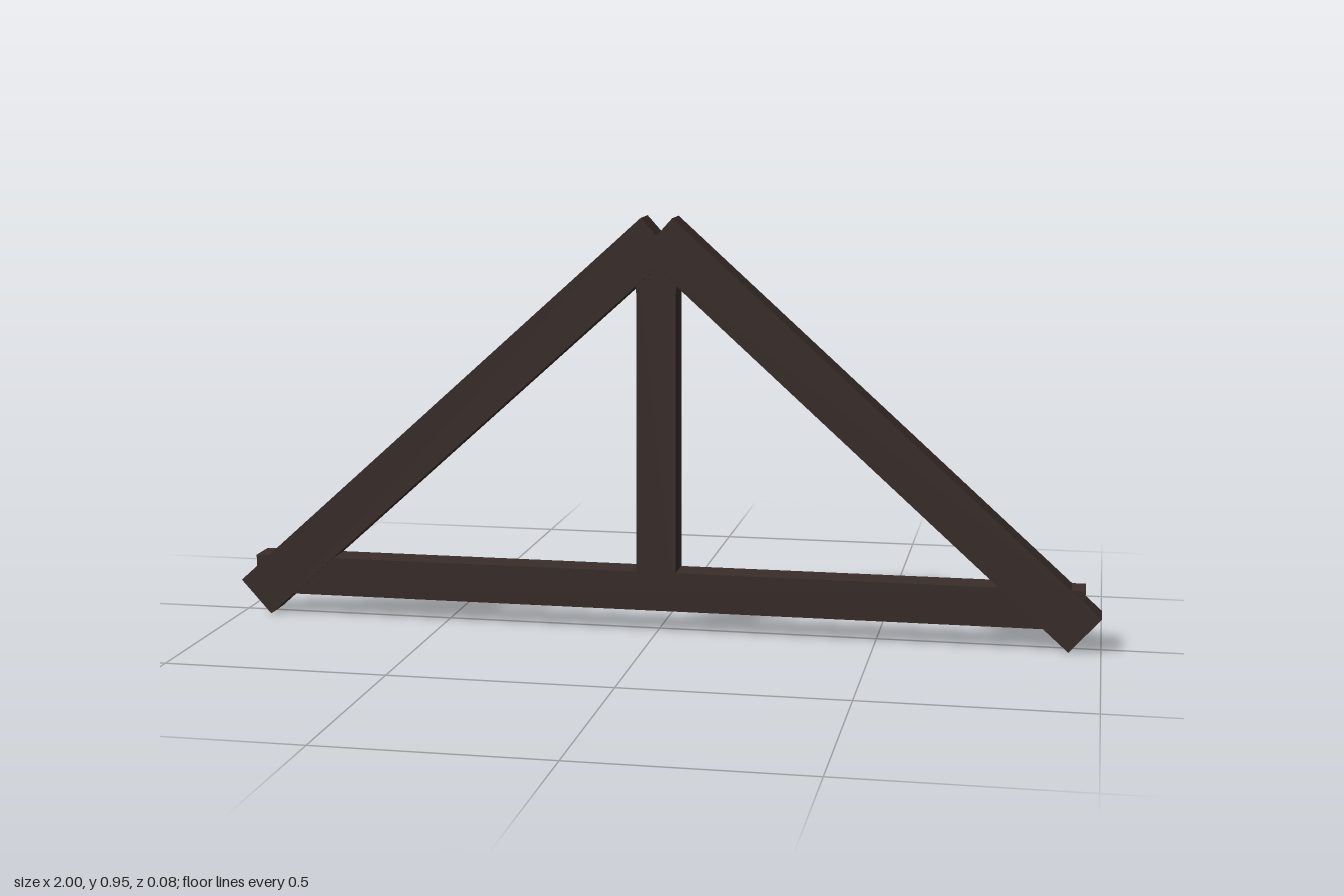
import * as THREE from 'three';

export function createModel() {
  const group = new THREE.Group();
  group.name = 'roofTruss';
  const wood = new THREE.MeshStandardMaterial({ color: 0x3a2d29 });

  // A square-cut timber whose centre line runs between two points
  function timber(name, x1, y1, x2, y2, width, depth, z = 0) {
    const length = Math.hypot(x2 - x1, y2 - y1);
    const mesh = new THREE.Mesh(new THREE.BoxGeometry(length, width, depth), wood);
    mesh.position.set((x1 + x2) / 2, (y1 + y2) / 2, z);
    mesh.rotation.z = Math.atan2(y2 - y1, x2 - x1);
    mesh.name = name;
    group.add(mesh);
  }

  // Sloping rafters, crossing just below the apex
  for (const side of [-1, 1]) {
    timber(side < 0 ? 'rightRafter' : 'leftRafter', side * 0.9645, 0.0395, 0, 0.909, 0.106, 0.08);
  }

  // Horizontal tie beam, slightly thinner than the rafters
  timber('tieBeam', -0.963, 0.095, 0.963, 0.095, 0.09, 0.075, -0.002);

  // Upright king post from the tie beam to the apex
  timber('kingPost', -0.002, 0.06, -0.002, 0.86, 0.09, 0.074, -0.002);

  return group;
}
